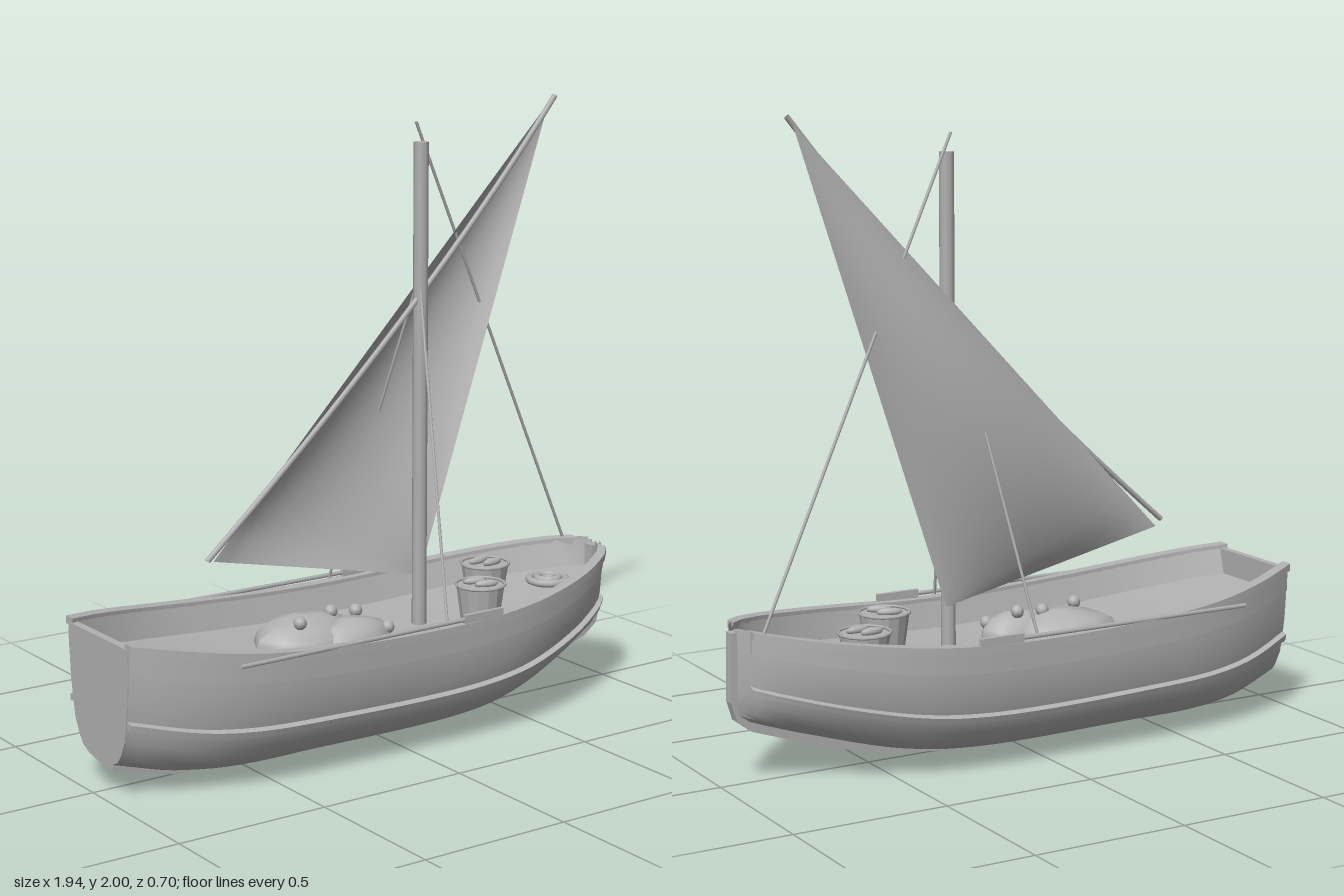
import * as THREE from 'three';
import { toCreasedNormals } from 'three/addons/utils/BufferGeometryUtils.js';

const V = (x, y, z) => new THREE.Vector3(x, y, z);

// Smooth curve through [position, value] pairs
function curve(pairs) {
  const c = new THREE.CubicInterpolant(pairs.map(p => p[0]), pairs.map(p => p[1]), 1, new Float32Array(1));
  return t => c.evaluate(t)[0];
}

// Hull lines: half breadth, sheer and bottom along x; section width by height
const breadth = curve([[-0.97, 0.178], [-0.85, 0.235], [-0.7, 0.285], [-0.55, 0.312], [-0.35, 0.324], [0, 0.325],
  [0.25, 0.322], [0.45, 0.302], [0.65, 0.246], [0.8, 0.175], [0.92, 0.08], [0.95, 0.03]]);
const sheer = curve([[-0.97, 0.5], [-0.6, 0.446], [-0.3, 0.422], [0, 0.412], [0.3, 0.418], [0.6, 0.445], [0.95, 0.492]]);
const bottom = curve([[-0.97, 0.09], [-0.75, 0.038], [-0.3, 0.03], [0.25, 0.032], [0.45, 0.055], [0.65, 0.105], [0.95, 0.2]]);
const fullness = curve([[0, 0.06], [0.03, 0.4], [0.13, 0.7], [0.38, 0.9], [0.7, 0.985], [1, 1]]);
const deckY = x => sheer(x) - 0.095;
const deckHalf = x => Math.max(breadth(x) - 0.045, 0.004);

function hullPoint(x, h, side = 1, out = 0) {
  const bow = 0.7 * THREE.MathUtils.smoothstep(x, 0.3, 0.95);
  const w = breadth(x) * Math.pow(fullness(h), 1 + bow);
  const y = THREE.MathUtils.lerp(bottom(x), sheer(x), h) - out * (1 - h) * 0.5;
  return V(x, y, side * (w + out));
}

// Skin a row of cross-sections
function loft(rings, closed = false, crease = 0.6) {
  const pos = [], n = rings[0].length;
  const tri = (...p) => p.forEach(q => pos.push(q.x, q.y, q.z));
  for (let i = 0; i < rings.length - 1; i++) {
    for (let j = 0; j < (closed ? n : n - 1); j++) {
      const k = (j + 1) % n, a = rings[i], b = rings[i + 1];
      tri(a[j], b[j], b[k]);
      tri(a[j], b[k], a[k]);
    }
  }
  if (closed) for (const r of [rings[0], rings[rings.length - 1]]) {
    for (let j = 1; j < n - 1; j++) tri(r[0], r[j], r[j + 1]);
  }
  const g = new THREE.BufferGeometry();
  g.setAttribute('position', new THREE.Float32BufferAttribute(pos, 3));
  return toCreasedNormals(g, crease);
}

const stations = (a, b, n) => Array.from({ length: n + 1 }, (_, i) => a + (b - a) * i / n);

export function createModel() {
  const boat = new THREE.Group();
  boat.name = 'sailingBoat';
  const grey = new THREE.MeshStandardMaterial({ color: 0xb2b2b2, side: THREE.DoubleSide });
  grey.name = 'plainGrey';

  const add = (name, geo, x = 0, y = 0, z = 0, parent = boat) => {
    const m = new THREE.Mesh(geo, grey);
    m.name = name;
    m.position.set(x, y, z);
    parent.add(m);
    return m;
  };
  // Straight round bar between two points
  const bar = (name, a, b, r, sides = 6) => {
    const m = add(name, new THREE.CylinderGeometry(r, r, a.distanceTo(b), sides));
    m.position.copy(a).lerp(b, 0.5);
    m.quaternion.setFromUnitVectors(V(0, 1, 0), b.clone().sub(a).normalize());
    return m;
  };

  // Hull skin, from one sheer round the bottom to the other
  const xs = stations(-0.97, 0.95, 40);
  const hs = [1, 0.85, 0.7, 0.54, 0.38, 0.25, 0.13, 0.07, 0.03, 0];
  add('hull', loft(xs.map(x => [
    ...hs.map(h => hullPoint(x, h, 1)),
    ...[...hs].reverse().map(h => hullPoint(x, h, -1))
  ])));

  // Deck with sloping bulwarks
  add('deck', loft(xs.map(x => [V(x, deckY(x), deckHalf(x)), V(x, deckY(x), -deckHalf(x))])));
  for (const s of [1, -1]) {
    add('bulwark', loft(xs.map(x => [
      V(x, sheer(x) - 0.005, s * Math.max(breadth(x) - 0.02, 0.005)), V(x, deckY(x), s * deckHalf(x))
    ])));

    // Rail along the sheer
    const run = stations(-0.97, 0.925, 36);
    add('rail', loft(run.map(x => {
      const b = breadth(x), y = sheer(x);
      return [[-0.022, 0], [0.02, 0], [0.02, -0.024], [-0.022, -0.024]].map(([o, d]) => V(x, y + d, s * (b + o)));
    }), true));

    // Raised top strake and rubbing wale
    for (const [name, h0, h1, out] of [['topStrake', 0.77, 0.96, 0.006], ['wale', 0.37, 0.42, 0.02]]) {
      add(name, loft(run.map(x => [
        hullPoint(x, h0, s, -0.005), hullPoint(x, h0, s, out), hullPoint(x, h1, s, out), hullPoint(x, h1, s, -0.005)
      ]), true));
    }

    // Oar lashed along the rail
    bar('oarShaft', V(-0.685, 0.425, s * 0.342), V(0.16, 0.425, s * 0.335), 0.007);
    add('oarBlade', new THREE.BoxGeometry(0.15, 0.03, 0.014), 0.215, 0.425, s * 0.335);

    // Shroud
    bar('shroud', V(0.208, 1.46, 0), V(0.082, 0.42, s * 0.325), 0.005);
  }

  // Transom plate
  const half = hs.map(h => hullPoint(-0.97, h));
  const edge = [...half.map(p => [p.z, p.y]), ...half.reverse().map(p => [-p.z, p.y])];
  const transom = new THREE.ExtrudeGeometry(
    new THREE.Shape(edge.map(([a, b]) => new THREE.Vector2(a, Math.min(b, 0.485)))), { depth: 0.025, bevelEnabled: false });
  add('transom', transom, -0.972).rotation.y = Math.PI / 2;

  // Keel and stem post in one piece
  const keel = new THREE.Shape([
    [-0.94, 0.06], [-0.84, 0.03], [-0.72, 0.005], [-0.3, 0], [0.25, 0.003], [0.45, 0.025], [0.65, 0.075], [0.9, 0.162],
    [0.95, 0.2], [0.968, 0.26], [0.965, 0.475], [0.925, 0.475], [0.925, 0.23], [0.8, 0.18], [0.6, 0.11], [0.3, 0.05],
    [-0.7, 0.05], [-0.94, 0.1]
  ].map(p => new THREE.Vector2(...p)));
  add('keelAndStem', new THREE.ExtrudeGeometry(keel, { depth: 0.036, bevelEnabled: false }), 0, 0, -0.018);

  // Mast, bent yard and forestay
  bar('mast', V(0.213, 0.31, 0), V(0.213, 1.88, 0), 0.024, 8);
  const yardPath = new THREE.QuadraticBezierCurve3(V(-0.59, 0.655, 0.005), V(0.25, 1.38, 0.005), V(0.748, 1.998, 0));
  add('yard', new THREE.TubeGeometry(yardPath, 20, 0.009, 6));
  bar('forestay', V(0.215, 1.94, -0.03), V(0.9, 0.48, -0.105), 0.005);

  // Triangular sail, bellied to one side
  const A = V(-0.55, 0.64, -0.025), B = V(0.738, 1.975, -0.02), C = V(0.24, 0.47, -0.035);
  const sailRows = stations(0, 1, 20).map(u => stations(0, 1, 20).map(v => {
    const a = (1 - u) * v, b = u * v, c = 1 - v;
    const p = V(0, 0, 0).addScaledVector(A, a).addScaledVector(B, b).addScaledVector(C, c);
    p.z -= 0.112 * Math.pow(27 * a * b * c, 0.85);
    return p;
  }));
  add('sail', loft(sailRows, false, 1.2));

  // Fish tubs, each with two fish lying on top
  for (const [x, z, turn] of [[0.56, -0.1, 0.1], [0.39, 0.095, -0.3]]) {
    const tub = new THREE.Group();
    tub.name = 'tub';
    tub.position.set(x, deckY(x), z);
    tub.rotation.y = turn;
    boat.add(tub);
    const h = 0.448 - deckY(x);
    const side = new THREE.CylinderGeometry(0.08, 0.064, h, 14, 1, true);
    add('tubSide', toCreasedNormals(side, 0.3), 0, h / 2, 0, tub);
    add('tubFill', new THREE.CircleGeometry(0.079, 14), 0, h - 0.006, 0, tub).rotation.x = -Math.PI / 2;
    add('tubRim', new THREE.TorusGeometry(0.081, 0.005, 5, 14), 0, h - 0.003, 0, tub).rotation.x = Math.PI / 2;
    for (const s of [1, -1]) {
      const fish = add('fish', new THREE.SphereGeometry(1, 10, 6), s * 0.012, h + 0.002, s * 0.022, tub);
      fish.scale.set(0.042, 0.013, 0.014);
    }
  }

  // Coiled rope at the bow
  [[0.062, 0.013, 0.012], [0.037, 0.012, 0.018], [0.015, 0.011, 0.012]].forEach(([r, t, y]) => {
    add('ropeCoil', new THREE.TorusGeometry(r, t, 8, 24), 0.75, deckY(0.75) + y, 0).rotation.x = Math.PI / 2;
  });

  // Heaped net: two lumpy mounds with floats
  for (const [x, z, rx, ry, rz, k] of [[-0.2, -0.035, 0.185, 0.09, 0.145, 0], [-0.08, 0.055, 0.14, 0.085, 0.09, 2]]) {
    const g = new THREE.SphereGeometry(1, 10, 8);
    const p = g.attributes.position;
    for (let i = 0; i < p.count; i++) {
      const v = V(0, 0, 0).fromBufferAttribute(p, i);
      v.multiplyScalar(1 + 0.08 * Math.sin(4 * v.x + k) * Math.cos(5 * v.z + k));
      p.setXYZ(i, v.x * rx, v.y * ry, v.z * rz);
    }
    g.computeVertexNormals();
    add('netHeap', g, x, deckY(x), z);
  }
  for (const [x, y, z] of [[-0.27, 0.41, 0.03], [-0.045, 0.41, 0.01], [0.02, 0.365, 0.095], [-0.12, 0.412, -0.02]]) {
    add('netFloat', new THREE.SphereGeometry(0.022, 8, 6), x, y, z);
  }

  return boat;
}
